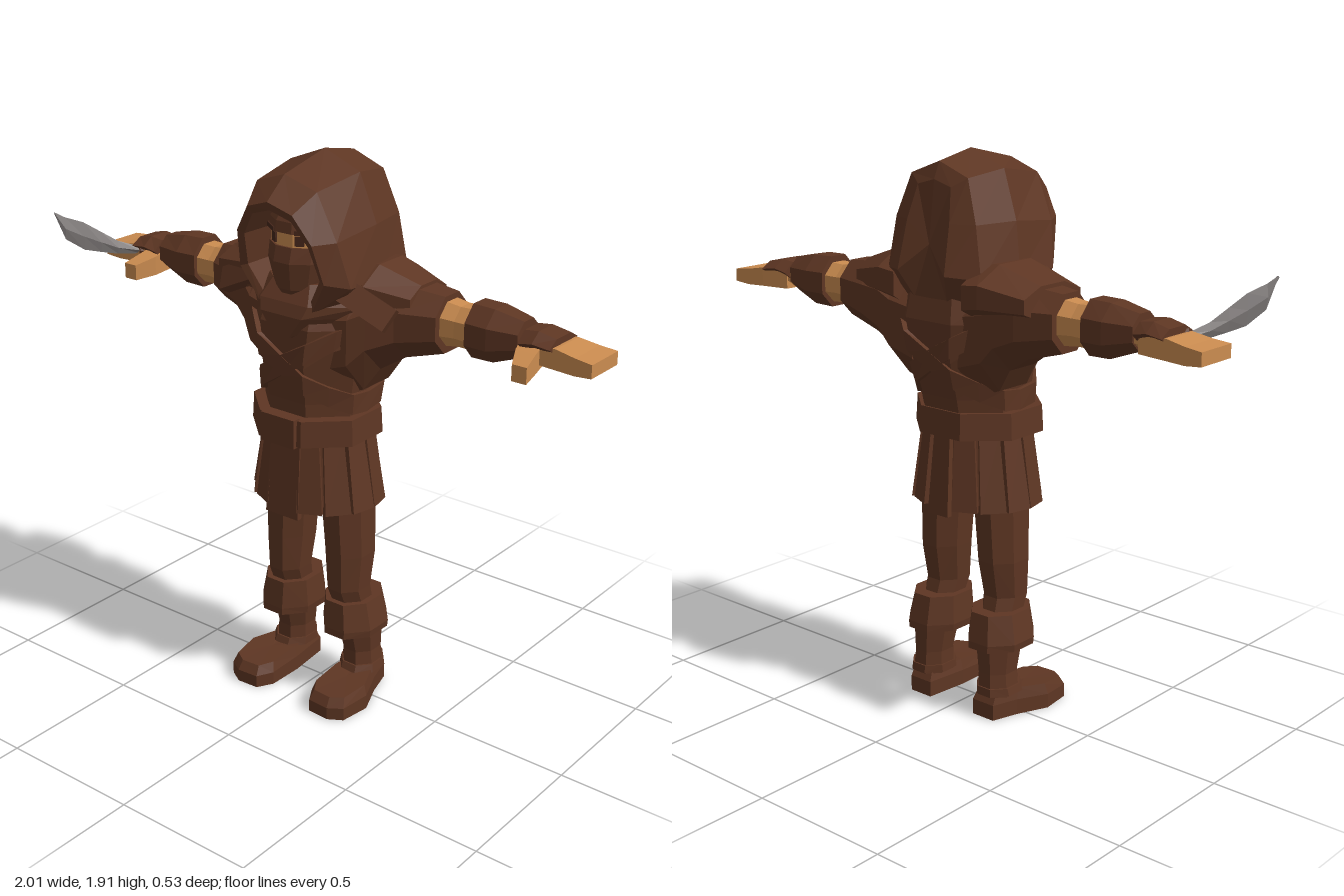
import * as THREE from 'three';

const mat = (name, color) => {
  const m = new THREE.MeshStandardMaterial({ color });
  m.name = name;
  return m;
};

// Faceted skin over a list of rings of [x, y, z]; capped at both ends, or joined into a loop.
function skin(rings, loop = false) {
  const tris = [], n = rings[0].length;
  const mid = r => [0, 1, 2].map(k => r.reduce((s, p) => s + p[k], 0) / n);
  const last = rings.length - 1;
  for (let i = 0; i < (loop ? last + 1 : last); i++) {
    const a = rings[i], b = rings[(i + 1) % rings.length];
    for (let j = 0; j < n; j++) {
      const k = (j + 1) % n;
      tris.push([a[j], b[j], a[k]], [a[k], b[j], b[k]]);
    }
  }
  if (!loop) {
    const c0 = mid(rings[0]), c1 = mid(rings[last]);
    for (let j = 0; j < n; j++) {
      const k = (j + 1) % n;
      tris.push([c0, rings[0][j], rings[0][k]], [c1, rings[last][k], rings[last][j]]);
    }
  }
  // keep every face pointing outwards, also for mirrored rings
  const vol = tris.reduce((s, [a, b, c]) => s
    + a[0] * (b[1] * c[2] - b[2] * c[1])
    + a[1] * (b[2] * c[0] - b[0] * c[2])
    + a[2] * (b[0] * c[1] - b[1] * c[0]), 0);
  if (vol < 0) tris.forEach(t => t.reverse());
  const g = new THREE.BufferGeometry();
  g.setAttribute('position', new THREE.Float32BufferAttribute(tris.flat(2), 3));
  g.computeVertexNormals();
  return g;
}

// Rings of n sides along an axis from sections [t, centreA, radiusA, centreB, radiusB].
function loftRings(axis, sections, n = 8) {
  const f = 1 / Math.cos(Math.PI / n);
  return sections.map(([t, ca, ra, cb, rb]) => Array.from({ length: n }, (_, i) => {
    const w = (i + 0.5) / n * Math.PI * 2;
    const a = ca + ra * f * Math.cos(w), b = cb + rb * f * Math.sin(w);
    return axis === 'y' ? [a, t, b] : axis === 'x' ? [t, a, b] : [a, b, t];
  }));
}
const flip = (rings, s) => rings.map(r => r.map(([x, y, z]) => [x * s, y, z]));

export function createModel() {
  const cloth = mat('brown cloth', 0x5e3623);
  const dark = mat('dark eyes', 0x45261a);
  const flesh = mat('skin', 0xcb8c50);
  const steel = mat('steel', 0x85807f);
  const model = new THREE.Group();
  model.name = 'hoodedFighter';

  const add = (name, geometry, material = cloth, parent = model) => {
    const m = new THREE.Mesh(geometry, material);
    m.name = name;
    parent.add(m);
    return m;
  };
  const loft = (name, axis, sections, n = 8, material = cloth, s = 1, parent = model) =>
    add(name, skin(flip(loftRings(axis, sections, n), s)), material, parent);

  // Torso
  const torso = [
    [1.0, 0, 0.18, 0.01, 0.16], [1.12, 0, 0.18, 0.0, 0.175], [1.25, 0, 0.2, -0.01, 0.205],
    [1.38, 0, 0.235, -0.02, 0.21], [1.48, 0, 0.21, -0.03, 0.18], [1.55, 0, 0.12, -0.03, 0.12],
  ];
  loft('torso', 'y', torso);

  // Crossed chest straps, wrapped round the torso
  const torsoAt = y => {
    const i = Math.max(0, Math.min(torso.length - 2, torso.findIndex(s => s[0] > y) - 1));
    const u = (y - torso[i][0]) / (torso[i + 1][0] - torso[i][0]);
    return torso[i].map((v, k) => v + (torso[i + 1][k] - v) * u);
  };
  for (const s of [1, -1]) {
    const rings = Array.from({ length: 16 }, (_, i) => {
      const w = i / 16 * Math.PI * 2, f = i % 2 ? 1.082 : 1;
      const y = 1.25 + s * 0.14 * Math.cos(w);
      return [[-0.035, -0.01], [-0.035, 0.016], [0.035, 0.016], [0.035, -0.01]].map(([dy, out]) => {
        const [, , rx, cz, rz] = torsoAt(y + dy);
        return [(rx * f + out) * Math.cos(w), y + dy, cz + (rz * f + out) * Math.sin(w)];
      });
    });
    add('chestStrap', skin(rings, true));
  }

  // Belt and buckle
  loft('belt', 'y', [[0.985, 0, 0.213, 0.02, 0.197], [1.075, 0, 0.208, 0.02, 0.192]]);
  const buckle = add('buckle', new THREE.BoxGeometry(0.14, 0.1, 0.03));
  buckle.position.set(0, 1.03, 0.215);

  // Pleated skirt: hollow lining with overlapping panels
  loft('skirtLining', 'y', [
    [1.0, 0, 0.175, 0.01, 0.16], [0.76, 0, 0.205, 0.01, 0.18],
    [0.76, 0, 0.195, 0.01, 0.17], [0.95, 0, 0.16, 0.01, 0.14],
  ], 14);
  for (let i = 0; i < 14; i++) {
    const w = Math.PI / 2 + i / 14 * Math.PI * 2, front = i === 0;
    const ring = (y, rx, rz, half) => [[-half, 0], [half, 0], [half, 0.02], [-half, 0.02]].map(([t, o]) =>
      [(rx + o) * Math.cos(w) - t * Math.sin(w), y, 0.01 + (rz + o) * Math.sin(w) + t * Math.cos(w)]);
    add('skirtPanel', skin([
      ring(1.0, 0.17, 0.155, front ? 0.06 : 0.034),
      ring(front || i === 7 ? 0.715 : 0.74, 0.213, 0.18, front ? 0.068 : 0.044),
    ]));
  }

  for (const s of [1, -1]) {
    const side = s > 0 ? 'left' : 'right';
    // Leg, boot and shoe
    const leg = new THREE.Group();
    leg.name = side + 'Leg';
    model.add(leg);
    loft('thigh', 'y', [[0.3, 0.135, 0.06, -0.03, 0.07], [0.42, 0.13, 0.068, 0.01, 0.078],
      [0.55, 0.128, 0.078, 0.0, 0.092], [0.85, 0.115, 0.088, 0, 0.105]], 8, cloth, s, leg);
    loft('boot', 'y', [[0.08, 0.15, 0.065, -0.05, 0.075], [0.16, 0.147, 0.06, -0.05, 0.07],
      [0.3, 0.142, 0.075, -0.035, 0.09]], 8, cloth, s, leg);
    loft('ankleBand', 'y', [[0.085, 0.152, 0.072, -0.045, 0.085], [0.112, 0.15, 0.068, -0.05, 0.078]], 8, cloth, s, leg);
    loft('bootCuff', 'y', [[0.25, 0.138, 0.1, -0.022, 0.122], [0.275, 0.138, 0.103, -0.022, 0.122],
      [0.375, 0.132, 0.088, -0.018, 0.108]], 8, cloth, s, leg);
    const sole = [[0.1, -0.125], [0.19, -0.125], [0.218, -0.03], [0.265, 0.08], [0.25, 0.19],
      [0.2, 0.22], [0.12, 0.215], [0.088, 0.16], [0.085, 0.03]];
    const soleRing = (k, h) => sole.map(([x, z]) =>
      [0.17 + (x - 0.17) * k, h * (1 - 0.9 * Math.max(0, z)), 0.045 + (z - 0.045) * k]);
    add('shoe', skin(flip([soleRing(1, 0), soleRing(1, 0.055), soleRing(0.88, 0.095)], s)), cloth, leg);

    // Arm
    const arm = new THREE.Group();
    arm.name = side + 'Arm';
    model.add(arm);
    loft('sleeve', 'x', [[0.1, 1.32, 0.2, -0.03, 0.17], [0.2, 1.345, 0.185, -0.04, 0.165],
      [0.25, 1.385, 0.148, -0.055, 0.15], [0.33, 1.405, 0.118, -0.075, 0.125],
      [0.46, 1.417, 0.094, -0.08, 0.09]], 8, cloth, s, arm);
    loft('elbow', 'x', [[0.44, 1.42, 0.075, -0.08, 0.07], [0.51, 1.42, 0.066, -0.08, 0.062],
      [0.6, 1.42, 0.07, -0.08, 0.068]], 8, flesh, s, arm);
    loft('bracer', 'x', [[0.56, 1.422, 0.088, -0.08, 0.08], [0.64, 1.422, 0.086, -0.08, 0.084],
      [0.74, 1.43, 0.058, -0.08, 0.062]], 8, cloth, s, arm);
    loft('wrist', 'x', [[0.72, 1.42, 0.04, -0.08, 0.05], [0.85, 1.415, 0.035, -0.085, 0.06]], 8, flesh, s, arm);
    loft('gloveBand', 'x', [[0.75, 1.435, 0.034, -0.08, 0.068], [0.8, 1.445, 0.03, -0.08, 0.07],
      [0.86, 1.438, 0.024, -0.085, 0.072]], 6, cloth, s, arm);
    loft('hand', 'x', [[0.76, 1.405, 0.03, -0.085, 0.055], [0.87, 1.407, 0.033, -0.088, 0.068],
      [0.94, 1.4, 0.028, -0.09, 0.073], [1.0, 1.4, 0.022, -0.09, 0.077]], 4, flesh, s, arm);
    loft('thumb', 'z', [[-0.06, 0.77, 0.04, 1.4, 0.035], [0.0, 0.782, 0.036, 1.385, 0.033],
      [0.068, 0.803, 0.026, 1.37, 0.027]], 4, flesh, s, arm);

    // Shoulder armour, larger on the sword side
    const big = s < 0 ? 1 : 0;
    loft('shoulderPlate', 'x', [[0.16, 1.48, 0.095, -0.07, 0.15 + 0.03 * big],
      [0.23, 1.49, 0.09, -0.07, 0.15 + 0.035 * big],
      [0.37 + 0.02 * big, 1.475, 0.055, -0.08, 0.1 + 0.04 * big]], 8, cloth, s, arm);
    const flap = add('shoulderFlap', new THREE.BoxGeometry(0.18, 0.08, 0.04), cloth, arm);
    flap.position.set(s * 0.26, 1.475, 0.095);
    flap.rotation.set(-0.5, s * 0.35, -s * 0.3);
  }

  // Scarf under the hood
  loft('scarf', 'y', [[1.35, 0, 0.08, 0.04, 0.165], [1.42, 0, 0.2, 0.02, 0.185],
    [1.46, 0, 0.235, 0.01, 0.18], [1.52, 0, 0.18, 0.0, 0.15]]);

  // Hood: half outlines from top centre to bottom centre, mirrored and skinned front to back
  const outline = half => [...half, ...half.slice(1, -1).reverse().map(([x, y, z]) => [-x, y, z])];
  const rim = [[0, 1.8, 0.265], [0.09, 1.77, 0.255], [0.15, 1.68, 0.235], [0.17, 1.55, 0.2], [0.1, 1.43, 0.18], [0, 1.4, 0.175]];
  const inset = (k, dz) => rim.map(([x, y, z]) => [x * k, 1.6 + (y - 1.6) * k, z + dz]);
  add('hood', skin([
    inset(0.84, -0.16), inset(0.86, -0.01), rim,
    [[0, 1.87, 0.18], [0.12, 1.83, 0.17], [0.19, 1.68, 0.16], [0.222, 1.53, 0.13], [0.14, 1.42, 0.1], [0, 1.39, 0.1]],
    [[0, 1.915, -0.02], [0.14, 1.86, -0.02], [0.2, 1.7, -0.03], [0.226, 1.53, -0.04], [0.16, 1.42, -0.05], [0, 1.4, -0.05]],
    [[0, 1.885, -0.17], [0.12, 1.84, -0.17], [0.17, 1.7, -0.19], [0.2, 1.53, -0.2], [0.13, 1.43, -0.17], [0, 1.42, -0.17]],
    [[0, 1.83, -0.195], [0.07, 1.81, -0.195], [0.09, 1.7, -0.225], [0.1, 1.54, -0.262], [0.07, 1.45, -0.215], [0, 1.44, -0.215]],
  ].map(outline)));

  // Face: forehead wrap, bare strip, mask and eyes
  loft('forehead', 'y', [[1.685, 0, 0.122, 0.05, 0.14], [1.72, 0, 0.118, 0.05, 0.135],
    [1.78, 0, 0.07, 0.05, 0.1]], 12);
  loft('eyeStrip', 'y', [[1.62, 0, 0.115, 0.05, 0.13], [1.7, 0, 0.115, 0.05, 0.13]], 12, flesh);
  loft('mask', 'y', [[1.46, 0, 0.05, 0.07, 0.09], [1.5, 0, 0.09, 0.06, 0.125],
    [1.59, 0, 0.118, 0.055, 0.145], [1.64, 0, 0.12, 0.05, 0.137]], 12);
  for (const s of [1, -1]) {
    const eye = add('eye', new THREE.BoxGeometry(0.03, 0.032, 0.008), dark);
    eye.position.set(s * 0.05, 1.662, 0.17);
    eye.rotation.y = s * 0.52;
    const brow = add('brow', new THREE.BoxGeometry(0.07, 0.014, 0.012), dark);
    brow.position.set(s * 0.068, 1.69, 0.163);
    brow.rotation.y = s * 0.6;
  }

  // Curved dagger in the right hand, [distance, lower edge, upper edge]
  const dagger = new THREE.Group();
  dagger.name = 'dagger';
  dagger.position.set(-0.85, 0, -0.03);
  dagger.rotation.y = -Math.PI * 2 / 3;
  model.add(dagger);
  const blade = [[0, 1.405, 1.43], [0.08, 1.412, 1.46], [0.14, 1.425, 1.5], [0.2, 1.44, 1.54],
    [0.265, 1.485, 1.565], [0.3, 1.58, 1.586]];
  add('blade', skin(blade.map(([d, lo, hi]) =>
    [[d, lo, 0], [d, (lo + hi) / 2, 0.009], [d, hi, 0], [d, (lo + hi) / 2, -0.009]])), steel, dagger);
  loft('guard', 'x', [[-0.02, 1.42, 0.03, 0, 0.022], [0.005, 1.42, 0.03, 0, 0.022]], 6, cloth, 1, dagger);
  loft('grip', 'x', [[-0.11, 1.405, 0.014, 0, 0.014], [0, 1.418, 0.014, 0, 0.014]], 6, cloth, 1, dagger);

  return model;
}
